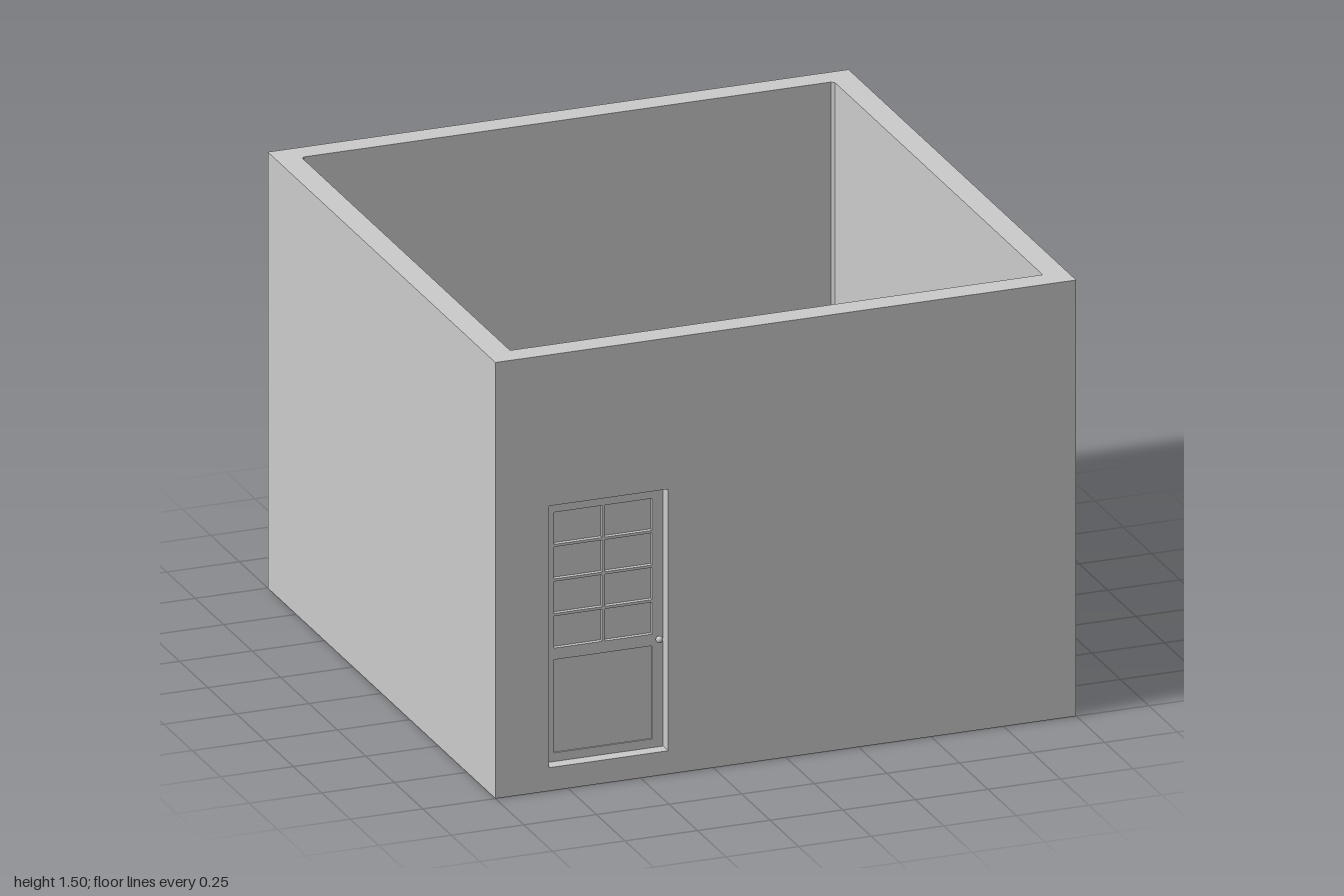
import * as THREE from 'three';

const H = 1.5, IN = 0.917, FLOOR = 0.08;
const DOOR = { x0: -0.815, x1: -0.405, y0: FLOOR, y1: 0.98 };
const grey = new THREE.MeshStandardMaterial({ color: 0xcccccc });

const poly = (pts) => new THREE.Shape(pts.map(([x, y]) => new THREE.Vector2(x, y)));
const rect = (x0, y0, x1, y1) => poly([[x0, y0], [x1, y0], [x1, y1], [x0, y1]]);

export function createModel() {
  const model = new THREE.Group();
  const add = (parent, name, geometry) => {
    const mesh = new THREE.Mesh(geometry, grey);
    mesh.name = name;
    parent.add(mesh);
    return mesh;
  };
  const extrude = (shape, depth) =>
    new THREE.ExtrudeGeometry(shape, { depth, bevelEnabled: false, curveSegments: 6 });
  // Plan outline (x, -z) raised from y0 to y1
  const raise = (shape, y0, y1) =>
    extrude(shape, y1 - y0).rotateX(-Math.PI / 2).translate(0, y0, 0);
  // Upright panel between z0 and z1
  const panel = (shape, z0, z1) => extrude(shape, z1 - z0).translate(0, 0, z0);
  const block = (x0, y0, z0, x1, y1, z1) =>
    new THREE.BoxGeometry(x1 - x0, y1 - y0, z1 - z0)
      .translate((x0 + x1) / 2, (y0 + y1) / 2, (z0 + z1) / 2);

  // Back and side walls as one U, with slightly cut inner corners
  const c = IN - 0.01;
  add(model, 'backAndSideWalls', raise(poly([
    [-1, -IN], [-IN, -IN], [-IN, c], [-c, IN], [c, IN], [IN, c],
    [IN, -IN], [1, -IN], [1, 1], [-1, 1],
  ]), 0, H));

  // Front wall with doorway
  const front = rect(-1, 0, 1, H);
  front.holes.push(rect(DOOR.x0, DOOR.y0, DOOR.x1, DOOR.y1));
  add(model, 'frontWall', panel(front, IN, 1));

  // Floor and two L-shaped raised tiers along the back and left sides
  add(model, 'floor', block(-IN, 0, -IN, IN, FLOOR, IN));
  [[0.35, FLOOR, 0.19], [0.65, 0.19, 0.3]].forEach(([e, y0, y1], i) => {
    add(model, 'tier' + (i + 1), raise(poly([
      [-IN, e], [e, e], [e, -IN], [IN, -IN], [IN, IN], [-IN, IN],
    ]), y0, y1));
  });

  // Door with eight panes and a shallow lower panel
  const door = new THREE.Group();
  door.name = 'door';
  model.add(door);
  const leaf = rect(DOOR.x0, DOOR.y0, DOOR.x1, DOOR.y1);
  for (const [x0, x1] of [[-0.78, -0.615], [-0.605, -0.443]]) {
    for (let r = 0; r < 4; r++) {
      const y = 0.47 + r * 0.119;
      leaf.holes.push(rect(x0, y, x1, y + 0.11));
    }
  }
  leaf.holes.push(rect(-0.78, 0.11, -0.443, 0.43));
  add(door, 'doorLeaf', panel(leaf, IN, 0.955));
  add(door, 'windowPanes', block(-0.785, 0.465, 0.931, -0.438, 0.942, 0.94));
  add(door, 'lowerPanel', block(-0.785, 0.105, 0.922, -0.438, 0.435, 0.95));

  // Door knobs on both sides
  for (const [z, dir] of [[0.955, 1], [IN, -1]]) {
    const knob = new THREE.Group();
    knob.name = dir > 0 ? 'outerKnob' : 'innerKnob';
    add(knob, 'knobStem', new THREE.CylinderGeometry(0.005, 0.005, 0.02, 12)
      .rotateX(Math.PI / 2).translate(0, 0, dir * 0.007));
    add(knob, 'knobBall', new THREE.SphereGeometry(0.012, 16, 12)
      .translate(0, 0, dir * 0.016));
    knob.position.set(-0.424, 0.455, z);
    door.add(knob);
  }

  // Door bell hanging from an arched arm inside, above the door
  const bell = new THREE.Group();
  bell.name = 'doorBell';
  model.add(bell);
  const arm = new THREE.CatmullRomCurve3([
    [1.03, IN], [1.08, 0.89], [1.105, 0.85], [1.08, 0.81], [1.03, 0.79],
  ].map(([y, z]) => new THREE.Vector3(-0.415, y, z)));
  add(bell, 'bellArm', new THREE.TubeGeometry(arm, 24, 0.003, 8));
  add(bell, 'bellBody', new THREE.SphereGeometry(0.013, 16, 12).translate(-0.415, 1.02, 0.79));

  return model;
}
